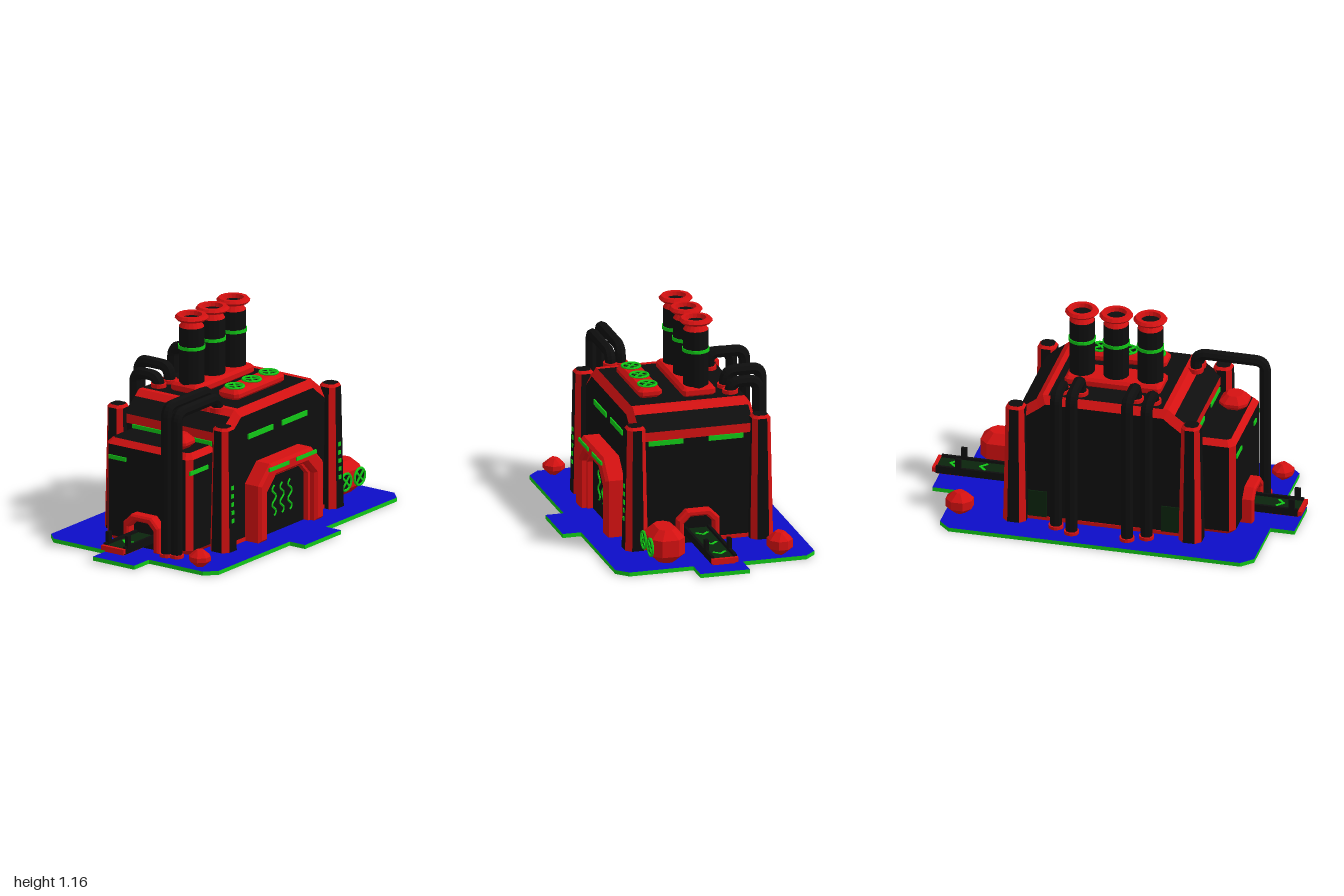
import * as THREE from 'three';

const mat = (name, color) => { const m = new THREE.MeshStandardMaterial({ color }); m.name = name; return m; };
const RED = mat('red trim', 0xd41111), BLACK = mat('black panel', 0x0e0e0e), GREEN = mat('green light', 0x11c816);
const BLUE = mat('blue floor', 0x0c0cc8), DARK = mat('dark green', 0x0a240c);

// Facet a geometry
const flat = (g) => { const n = g.index ? g.toNonIndexed() : g; n.computeVertexNormals(); return n; };

// Skin between closed rings; side(i, j) picks the material of each strip
function loft(rings, side, bottom, top) {
  const buckets = new Map();
  const tri = (m, ...p) => { if (!buckets.has(m)) buckets.set(m, []); p.forEach((q) => buckets.get(m).push(...q)); };
  const n = rings[0].length, last = rings[rings.length - 1];
  const centre = (r) => [0, 1, 2].map((k) => (Math.min(...r.map((p) => p[k])) + Math.max(...r.map((p) => p[k]))) / 2);
  const cb = centre(rings[0]), ct = centre(last);
  for (let j = 0; j < n; j++) {
    const k = (j + 1) % n;
    for (let i = 0; i < rings.length - 1; i++) {
      const [a, b, c, d] = [rings[i][j], rings[i][k], rings[i + 1][k], rings[i + 1][j]];
      tri(side(i, j), a, b, c, a, c, d);
    }
    tri(bottom, cb, rings[0][k], rings[0][j]);
    tri(top, ct, last[j], last[k]);
  }
  const g = new THREE.BufferGeometry(), pos = [], mats = [];
  for (const [m, arr] of buckets) {
    g.addGroup(pos.length / 3, arr.length / 3, mats.length);
    mats.push(m);
    for (const v of arr) pos.push(v);
  }
  g.setAttribute('position', new THREE.Float32BufferAttribute(pos, 3));
  g.computeVertexNormals();
  return new THREE.Mesh(g, mats);
}

// Rectangle with cut corners, lying flat at height y; even strips are faces, odd ones corners
function octagon(w, d, c, y) {
  const a = w / 2, b = d / 2;
  return [[a, -b + c], [a, b - c], [a - c, b], [-a + c, b], [-a, b - c], [-a, -b + c], [-a + c, -b], [a - c, -b]]
    .map(([x, v]) => [x, y, -v]);
}

export function createModel() {
  const root = new THREE.Group();
  const put = (mesh, name, x = 0, y = 0, z = 0, parent = root) => {
    mesh.name = name; mesh.position.set(x, y, z); parent.add(mesh); return mesh;
  };
  const add = (name, g, m, x, y, z, parent) => put(new THREE.Mesh(flat(g), m), name, x, y, z, parent);
  const box = (name, m, w, h, d, x, y, z, parent) => add(name, new THREE.BoxGeometry(w, h, d), m, x, y, z, parent);
  const cyl = (name, m, r, h, x, y, z, parent) => add(name, new THREE.CylinderGeometry(r, r, h, 16), m, x, y, z, parent);
  // Box with every edge cut; y is its underside
  const cutBox = (name, w, h, d, c, x, y, z, face = RED, top = RED) => put(loft(
    [octagon(w - 2 * c, d - 2 * c, c * 0.6, 0), octagon(w, d, c, c), octagon(w, d, c, h - c), octagon(w - 2 * c, d - 2 * c, c * 0.6, h)],
    (i, j) => (i === 1 && j % 2 === 0 ? face : RED), RED, top), name, x, y, z);

  // Floor slab with side and front tabs
  const floor = [[0.98, -0.08], [0.98, 0.19], [0.85, 0.19], [0.85, 0.54], [0.79, 0.6], [-0.79, 0.6], [-0.85, 0.54], [-0.85, 0.19],
    [-0.98, 0.19], [-0.98, -0.08], [-0.85, -0.08], [-0.85, -0.43], [-0.79, -0.49], [-0.16, -0.49], [-0.16, -0.59],
    [0.16, -0.59], [0.16, -0.49], [0.79, -0.49], [0.85, -0.43], [0.85, -0.08]];
  put(loft([0, 0.022].map((y) => floor.map(([x, v]) => [x, y, -v])), () => GREEN, BLACK, BLUE), 'floorSlab');

  // Main hall with red bevelled ends, roof edges and wall bands
  const half = [[0.47, 0.02], [0.47, 0.6], [0.47, 0.65], [0.375, 0.72], [0.34, 0.75], [0.31, 0.75]];
  const hall = [...half, ...half.map(([x, y]) => [-x, y]).reverse()];
  const slice = (sx, sy, z) => hall.map(([x, y]) => [x * sx, y * sy, z]);
  put(loft([slice(0.94, 0.945, -0.39), slice(1, 1, -0.36), slice(1, 1, 0.26), slice(0.94, 0.945, 0.29)],
    (i, j) => (i !== 1 || [1, 3, 4, 6, 7, 9].includes(j) ? RED : BLACK), BLACK, BLACK), 'hall');
  box('skirting', RED, 0.95, 0.02, 0.69, 0, 0.032, -0.05);

  // Tapered corner pillars
  for (const x of [-0.475, 0.475]) for (const z of [-0.395, 0.29]) {
    put(loft([octagon(0.125, 0.125, 0.03, 0.02), octagon(0.1, 0.1, 0.025, 0.685), octagon(0.075, 0.075, 0.018, 0.7)],
      (i, j) => (i || j % 2 ? RED : BLACK), BLACK, BLACK), 'pillar', x, 0, z);
    if (z > 0) for (let i = 0; i < 5; i++) {
      const y = 0.19 + i * 0.045;
      box('pillarLight', GREEN, 0.022, 0.022, 0.008, x, y, 0.3525 - (y - 0.02) * 0.0188);
    }
  }

  // Wall lights
  for (const s of [-1, 1]) {
    box('frontLight', GREEN, 0.22, 0.028, 0.009, s * 0.15, 0.588, 0.293);
    for (const [z, d] of [[0.118, 0.19], [-0.21, 0.19]]) box('sideLight', GREEN, 0.009, 0.026, d, s * 0.473, 0.588, z);
    box('backPanel', DARK, 0.1, 0.15, 0.008, s * 0.36, 0.115, -0.392);
  }

  // Portal frame with cut upper corners, open at the floor
  const portal = (name, w, h, c, t, depth, bevel) => {
    const outline = (a, top, k) => [[a, 0.02], [a, top - k], [a - k, top], [-a + k, top], [-a, top - k], [-a, 0.02]];
    const pts = [...outline(w, h, c), ...outline(w - t, h - t, c * 0.75).reverse()];
    const shape = new THREE.Shape(pts.map((p) => new THREE.Vector2(...p)));
    const g = new THREE.ExtrudeGeometry(shape, { depth: depth - bevel, bevelEnabled: bevel > 0, bevelThickness: bevel, bevelSize: bevel, bevelOffset: -bevel, bevelSegments: 1 });
    return add(name, g, RED);
  };
  portal('doorFrame', 0.285, 0.435, 0.1, 0.075, 0.11, 0.015).position.z = 0.28;
  portal('doorInnerFrame', 0.22, 0.37, 0.085, 0.025, 0.06, 0).position.z = 0.29;
  box('door', BLACK, 0.4, 0.33, 0.04, 0, 0.185, 0.3);
  for (const s of [-1, 1]) box('doorLight', GREEN, 0.175, 0.02, 0.009, s * 0.12, 0.408, 0.392);
  for (const x of [-0.07, 0, 0.07]) {
    const wave = Array.from({ length: 13 }, (_, i) => new THREE.Vector3(x + 0.017 * Math.sin(i * 1.05), 0.11 + i * 0.014, 0.322));
    add('heatWave', new THREE.TubeGeometry(new THREE.CatmullRomCurve3(wave), 36, 0.006, 5), GREEN);
  }

  // Side annex
  cutBox('annex', 0.27, 0.56, 0.56, 0.03, -0.555, 0.02, -0.05, BLACK, BLACK);
  cutBox('annexVent', 0.15, 0.085, 0.16, 0.035, -0.59, 0.57, 0.08);
  box('annexFrontLight', GREEN, 0.16, 0.022, 0.009, -0.615, 0.482, 0.232);
  box('annexSideLight', GREEN, 0.009, 0.022, 0.11, -0.692, 0.482, -0.24);
  box('annexSideLight', GREEN, 0.009, 0.022, 0.05, -0.692, 0.482, 0.1);

  // Conveyors leaving through side portals
  for (const s of [-1, 1]) {
    const start = s > 0 ? 0.46 : 0.68, len = 0.98 - start, mid = s * (start + len / 2), z = -0.05;
    const p = portal('conveyorPortal', 0.115, 0.21, 0.05, 0.035, s > 0 ? 0.055 : 0.07, 0.01);
    p.rotation.y = s * Math.PI / 2;
    p.position.set(s * start, 0, z);
    box('conveyorBed', BLACK, len, 0.025, 0.14, mid, 0.083, z);
    box('conveyorBelt', DARK, len, 0.008, 0.1, mid, 0.097, z);
    box('conveyorEnd', RED, 0.02, 0.025, 0.145, s * 0.99, 0.09, z);
    box('conveyorUnderside', RED, 0.16, 0.012, 0.12, s * 0.9, 0.07, z);
    box('portalMouth', BLACK, 0.006, 0.15, 0.16, s * (start + 0.015), 0.095, z);
    for (const e of [-1, 1]) {
      box('conveyorRail', BLACK, len, 0.02, 0.015, mid, 0.102, z + e * 0.063);
      box('conveyorPost', BLACK, 0.03, 0.07, 0.02, s > 0 ? 0.86 : -0.945, 0.132, z + e * 0.063);
    }
    for (const x of s > 0 ? [0.58, 0.74, 0.9] : [0.87]) for (const e of [-1, 1])
      box('beltArrow', GREEN, 0.05, 0.006, 0.013, s * x, 0.101, z + e * 0.016).rotation.y = s * e * 0.8;
  }

  // Ring fan facing +z
  const fan = (r, x, y, z, tilt) => {
    const g = put(new THREE.Group(), 'fan', x, y, z);
    add('fanRing', new THREE.TorusGeometry(r - 0.006, 0.007, 6, 16), GREEN, 0, 0, 0, g);
    add('fanWell', new THREE.CircleGeometry(r - 0.006, 16), BLACK, 0, 0, -0.002, g);
    for (const a of [-1, 1]) box('fanBlade', GREEN, 2 * r - 0.012, 0.01, 0.006, 0, 0, 0.002, g).rotation.z = a * Math.PI / 4;
    g.rotation.x = tilt;
  };
  cutBox('fanUnit', 0.25, 0.18, 0.18, 0.045, 0.68, 0.022, 0.19);
  for (const x of [0.62, 0.742]) fan(0.052, x, 0.112, 0.284, 0);
  cutBox('roofFanBase', 0.44, 0.06, 0.13, 0.02, 0, 0.745, 0.125);
  for (const x of [-0.15, 0, 0.15]) fan(0.054, x, 0.808, 0.125, -Math.PI / 2);

  // Corner tanks
  cutBox('smallTank', 0.11, 0.09, 0.11, 0.033, -0.78, 0.022, 0.36);
  cutBox('largeTank', 0.14, 0.122, 0.125, 0.038, 0.775, 0.022, -0.415);

  // Chimneys on a shared base
  cutBox('chimneyBase', 0.52, 0.055, 0.18, 0.015, 0, 0.743, -0.13);
  const rim = [[0.068, 1.098], [0.045, 1.135], [0.078, 1.137], [0.09, 1.15], [0.078, 1.165], [0.056, 1.165], [0.05, 1.14]]
    .map((p) => new THREE.Vector2(...p));
  for (const x of [-0.185, 0, 0.185]) {
    cyl('chimney', BLACK, 0.068, 0.36, x, 0.92, -0.13);
    cyl('chimneyBand', GREEN, 0.073, 0.018, x, 0.99, -0.13);
    add('chimneyRim', new THREE.LatheGeometry(rim, 16), RED, x, 0, -0.13);
    cyl('chimneyMouth', BLACK, 0.051, 0.01, x, 1.138, -0.13);
  }

  // Pipe rising from the roof, over the edge and down, with rounded bends
  const pipe = (pts, r) => {
    const v = pts.map((p) => new THREE.Vector3(...p)), path = new THREE.CurvePath();
    let from = v[0];
    for (let i = 1; i < v.length; i++) {
      const corner = i < v.length - 1;
      const a = corner ? v[i].clone().add(v[i - 1].clone().sub(v[i]).setLength(0.055)) : v[i];
      path.add(new THREE.LineCurve3(from, a));
      if (corner) {
        from = v[i].clone().add(v[i + 1].clone().sub(v[i]).setLength(0.055));
        path.add(new THREE.QuadraticBezierCurve3(a, v[i], from));
      }
    }
    add('pipe', new THREE.TubeGeometry(path, 90, r, 8), BLACK);
    cyl('pipeFlange', RED, r + 0.01, 0.025, pts[0][0], pts[0][1] + 0.012, pts[0][2]);
    cyl('pipeFoot', RED, r + 0.008, 0.018, pts[3][0], 0.03, pts[3][2]);
  };
  for (const [x, y, z] of [[-0.745, 0.84, 0.118], [-0.73, 0.81, 0.172]])
    pipe([[-0.37, 0.735, z], [-0.37, y, z], [x, y, z], [x, 0.02, z]], 0.03);
  for (const s of [-1, 1]) for (const [x, y, z] of [[0.15, 0.838, -0.495], [0.245, 0.805, -0.452]])
    pipe([[s * x, 0.745, -0.3], [s * x, y, -0.3], [s * x, y, z], [s * x, 0.02, z]], 0.032);

  return root;
}
